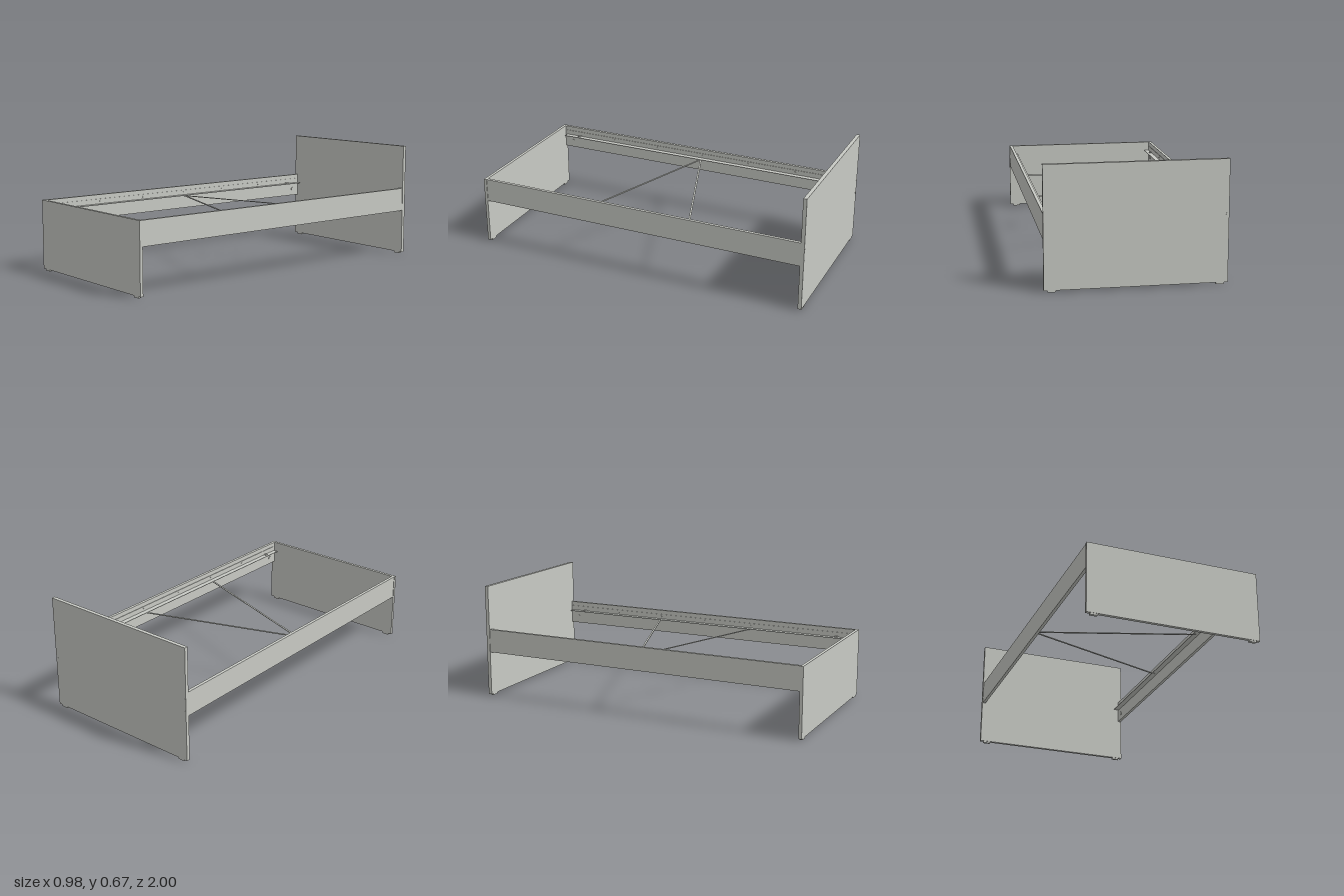
import * as THREE from 'three';

export function createModel() {
  const model = new THREE.Group();
  model.name = 'bedFrame';
  const panelGrey = new THREE.MeshStandardMaterial({ color: 0xc8cac4 });
  panelGrey.name = 'panelGrey';

  const add = (name, geometry, x, y, z) => {
    const mesh = new THREE.Mesh(geometry, panelGrey);
    mesh.name = name;
    mesh.position.set(x, y, z);
    model.add(mesh);
    return mesh;
  };
  // Box given by its lower and upper limits on each axis
  const box = (name, x0, x1, y0, y1, z0, z1) =>
    add(name, new THREE.BoxGeometry(x1 - x0, y1 - y0, z1 - z0), (x0 + x1) / 2, (y0 + y1) / 2, (z0 + z1) / 2);

  // End panels
  box('headboard', -0.488, 0.488, 0.01, 0.673, -1, -0.979);
  box('footboard', -0.488, 0.488, 0.01, 0.411, 0.982, 1);

  for (const s of [-1, 1]) {
    const sideBox = (name, x0, x1, ...rest) =>
      s > 0 ? box(name, x0, x1, ...rest) : box(name, -x1, -x0, ...rest);

    // Side rail with an L-shaped slat support on its inner face
    sideBox('sideRail', 0.467, 0.485, 0.272, 0.411, -0.979, 0.982);
    sideBox('supportLedge', 0.434, 0.467, 0.353, 0.356, -0.97, 0.97);
    sideBox('supportFlange', 0.464, 0.467, 0.356, 0.385, -0.97, 0.97);

    // Screws through the flange, and pegs on the ledge
    for (const z of [-0.62, -0.31, 0, 0.31, 0.62]) {
      const screw = add('supportScrew', new THREE.CylinderGeometry(0.005, 0.005, 0.003, 12), s * 0.4625, 0.371, z);
      screw.rotation.z = Math.PI / 2;
    }
    for (const z of [-0.87, 0.87]) sideBox('slatPeg', 0.447, 0.463, 0.356, 0.362, z - 0.009, z + 0.009);

    for (const e of [-1, 1]) {
      // Feet under the end panels
      sideBox('foot', 0.425, 0.467, 0, 0.01, e * 0.99 - 0.008, e * 0.99 + 0.008);
      // Joining cam on the inner face of the rail
      const cam = add('railCam', new THREE.CylinderGeometry(0.012, 0.012, 0.003, 20), s * 0.4655, 0.313, e * 0.93);
      cam.rotation.z = Math.PI / 2;
    }

    // Bolt heads on the back of the headboard
    for (const y of [0.305, 0.38]) {
      const bolt = add('headboardBolt', new THREE.CylinderGeometry(0.007, 0.007, 0.002, 16), s * 0.478, y, -1);
      bolt.rotation.x = Math.PI / 2;
    }

    // Diagonal brace from the middle of the right ledge to the left ledge
    const dx = 0.9, dz = s * 0.31;
    const brace = add('diagonalBrace', new THREE.BoxGeometry(Math.hypot(dx, dz), 0.004, 0.01), 0, 0.351, dz / 2);
    brace.rotation.y = -Math.atan2(dz, dx);
  }
  return model;
}
